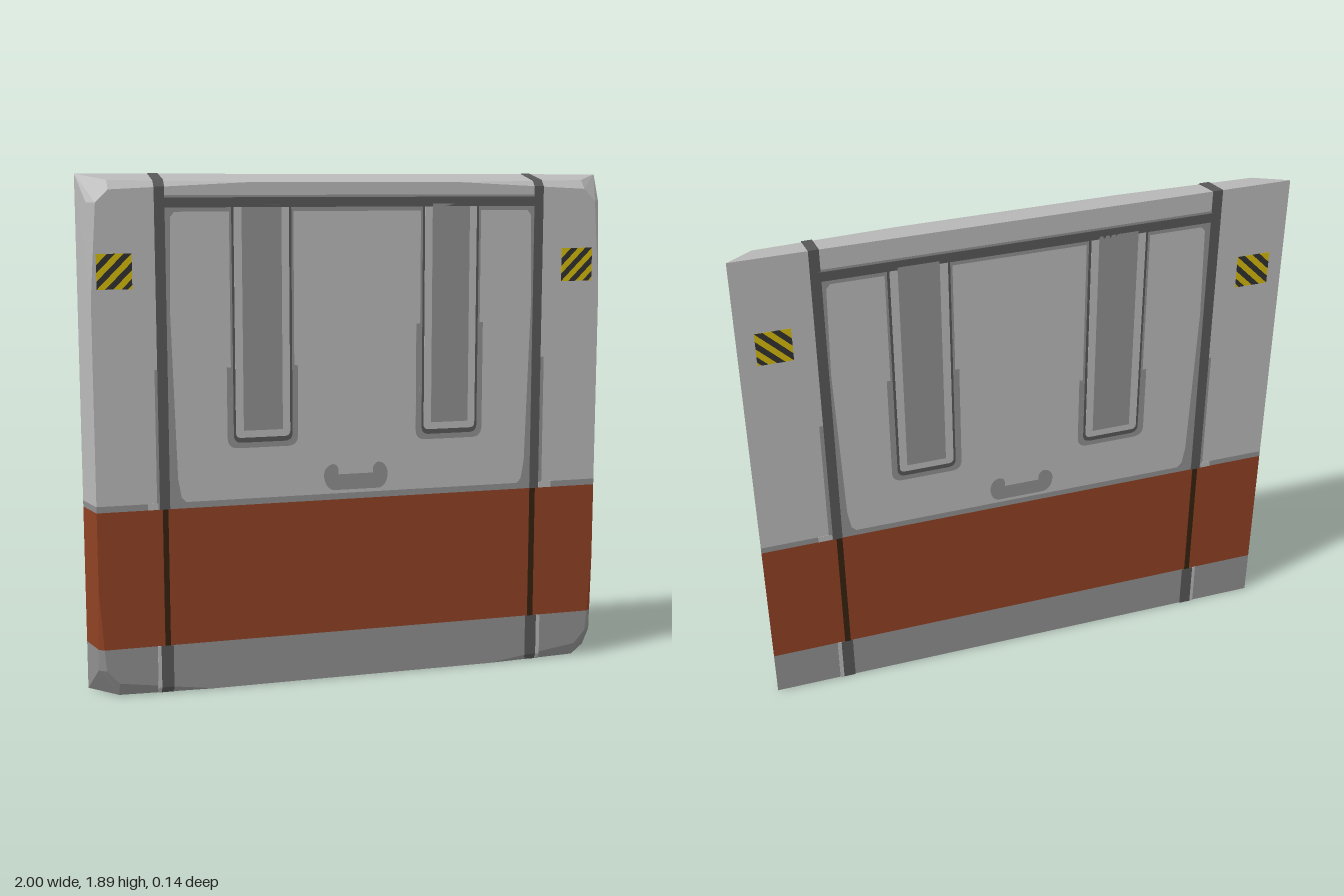
import * as THREE from 'three';
import { ConvexGeometry } from 'three/addons/geometries/ConvexGeometry.js';

const D = 0.068; // half thickness of the panel

const paint = (name, color) => {
  const m = new THREE.MeshStandardMaterial({ color });
  m.name = name;
  return m;
};

export function createModel() {
  const root = new THREE.Group();
  root.name = 'wallPanel';
  const light = paint('light grey', 0xb9b9b9);
  const mid = paint('mid grey', 0x8f8f8f);
  const dark = paint('dark grey', 0x585858);
  const rust = paint('rust red', 0x8f4123);
  const seam = paint('dark brown', 0x35210f);
  const yellow = paint('yellow', 0xd2b80a);
  const black = paint('near black', 0x303030);

  const add = (name, geometry, material) => {
    const mesh = new THREE.Mesh(geometry, material);
    mesh.name = name;
    root.add(mesh);
    return mesh;
  };

  // Panel body: convex slices, one for each colour band
  const slice = (name, material, points) => {
    const v = [];
    for (const [x, y, z] of points) v.push(new THREE.Vector3(x, y, z), new THREE.Vector3(-x, y, z));
    add(name, new ConvexGeometry(v), material);
  };
  const section = (y) => [[1, y, -D], [0.968, y, D]];
  const lowCut = [[1, 0.18, -D], [0.9717, 0.18, 0.051], [0.952, 0.18, D]];
  slice('lowerBody', mid, [
    [1, 0, -D], [0.55, 0, D],
    [0.9, 0, 0.045], [0.973, 0.1, 0.045], // corner chamfer, outer edge
    [0.9, 0.05, D], [0.945, 0.1, D],      // corner chamfer, front edge
    ...lowCut,
  ]);
  slice('rustBand', rust, [...lowCut, ...section(0.4), ...section(0.69)]);
  slice('bandTrim', mid, [...section(0.69), ...section(0.713)]);
  slice('upperBody', light, [
    ...section(0.713), ...section(1.45),
    [1, 1.89, -D], [0.4, 1.86, D],
    [0.9, 1.868, 0.035], [0.973, 1.79, 0.035],
    [0.9, 1.835, D], [0.945, 1.79, D],
  ]);

  // Painted shape showing on both faces, raised by a hair for each layer
  const decal = (name, material, layer, shape) => {
    const h = D + 0.0009 * layer;
    const g = new THREE.ExtrudeGeometry(shape, { depth: 2 * h, bevelEnabled: false, curveSegments: 8 });
    g.translate(0, 0, -h);
    return add(name, g, material);
  };
  const poly = (pts) => new THREE.Shape(pts.map(([x, y]) => new THREE.Vector2(x, y)));
  const rect = (name, material, layer, x0, x1, y0, y1) =>
    decal(name, material, layer, poly([[x0, y0], [x1, y0], [x1, y1], [x0, y1]]));

  // Seam wrapped over the top or bottom edge: side profile [z, y] swept in x
  const wrap = (name, material, x0, x1, profile) => {
    const g = new THREE.ExtrudeGeometry(poly(profile.map(([z, y]) => [-z, y])),
      { depth: x1 - x0, bevelEnabled: false });
    g.rotateY(Math.PI / 2);
    g.translate(x0, 0, 0);
    add(name, g, material);
  };
  const e = 0.0025;
  const topProfile = [[-D - e, 0.69], [D + e, 0.69], [D + e, 1.845], [0.048, 1.869], [-D - e, 1.892]];
  const lowProfile = [[-D - e, -0.001], [0.057, -0.001], [D + e, 0.022], [D + e, 0.18], [-D - e, 0.18]];

  // Vertical seams
  wrap('upperSeamRight', dark, -0.74, -0.703, topProfile);
  wrap('upperSeamLeft', dark, 0.697, 0.733, topProfile);
  wrap('lowerSeamRight', dark, -0.745, -0.7, lowProfile);
  wrap('lowerSeamLeft', dark, 0.69, 0.735, lowProfile);
  wrap('lowerGlintRight', light, -0.758, -0.745, lowProfile);
  wrap('lowerGlintLeft', light, 0.735, 0.75, lowProfile);
  rect('bandSeamRight', seam, 3, -0.73, -0.71, 0.18, 0.69);
  rect('bandSeamLeft', seam, 3, 0.698, 0.72, 0.18, 0.69);
  rect('trimGapRight', light, 1, -0.783, -0.745, 0.69, 0.714);
  rect('trimGapLeft', light, 1, 0.735, 0.787, 0.69, 0.714);

  // Centre door outline: mid-grey fringe with rounded lower corners, dark top bar
  for (const s of [-1, 1]) {
    decal('doorFringe', mid, 1, poly([[0.64, 0.71], [0.71, 0.71], [0.71, 1.78], [0.65, 1.78],
      [0.683, 1.74], [0.69, 1.4], [0.672, 0.8], [0.66, 0.73]].map(([x, y]) => [s * x, y])));
    rect('seamFringe', mid, 1, s * 0.72 - 0.03, s * 0.72 + 0.027, 0.713, 1.2);
  }
  rect('topBarFringe', mid, 1, -0.7, 0.7, 1.757, 1.815);
  rect('topBar', dark, 4, -0.71, 0.71, 1.772, 1.807);

  // Rounded-bottom strip for the slots
  const strip = (x0, x1, y0, y1, r) => {
    const s = new THREE.Shape();
    s.moveTo(x0, y1);
    s.lineTo(x0, y0 + r);
    s.quadraticCurveTo(x0, y0, x0 + r, y0);
    s.lineTo(x1 - r, y0);
    s.quadraticCurveTo(x1, y0, x1, y0 + r);
    s.lineTo(x1, y1);
    return s;
  };

  // Two long slots
  for (const [c, side, shadeTop] of [[-0.355, 'Right', 1.2], [0.365, 'Left', 1.34]]) {
    decal('slotShade' + side, mid, 1, strip(c - 0.133, c + 0.131, 0.902, shadeTop, 0.04));
    decal('slotFringe' + side, mid, 1.5, strip(c - 0.118, c + 0.118, 0.91, 1.78, 0.04));
    decal('slotOutline' + side, dark, 2, strip(c - 0.11, c + 0.11, 0.922, 1.79, 0.03));
    decal('slotFrame' + side, light, 3, strip(c - 0.102, c + 0.101, 0.94, 1.782, 0.02));
    rect('slotPanel' + side, mid, 4, c - 0.073, c + 0.073, 0.966, 1.782);
  }

  // Handle: bar with two raised ears
  const handle = new THREE.Shape();
  handle.moveTo(-0.09, 0.726);
  handle.lineTo(0.09, 0.726);
  handle.quadraticCurveTo(0.122, 0.735, 0.122, 0.785);
  handle.quadraticCurveTo(0.115, 0.825, 0.085, 0.825);
  handle.quadraticCurveTo(0.06, 0.82, 0.065, 0.785);
  handle.lineTo(-0.07, 0.785);
  handle.quadraticCurveTo(-0.065, 0.82, -0.09, 0.825);
  handle.quadraticCurveTo(-0.122, 0.82, -0.126, 0.785);
  handle.quadraticCurveTo(-0.122, 0.735, -0.09, 0.726);
  decal('handle', mid, 1, handle);

  // Hazard squares with diagonal stripes
  const size = 0.125;
  const enter = (c) => [Math.max(0, -c), Math.max(0, c)];
  const leave = (c) => [Math.min(size, size - c), Math.min(size, size + c)];
  for (const x of [-0.947, 0.812]) {
    const y = 1.488;
    rect('hazardSquare', yellow, 1, x, x + size, y, y + size);
    for (const [a, b] of [[-0.11, -0.088], [-0.058, -0.03], [0, 0.028], [0.058, 0.086]]) {
      const pts = [enter(a), leave(a), leave(b), enter(b)];
      decal('hazardStripe', black, 2, poly(pts.map(([u, v]) => [x + u, y + v])));
    }
  }

  return root;
}
